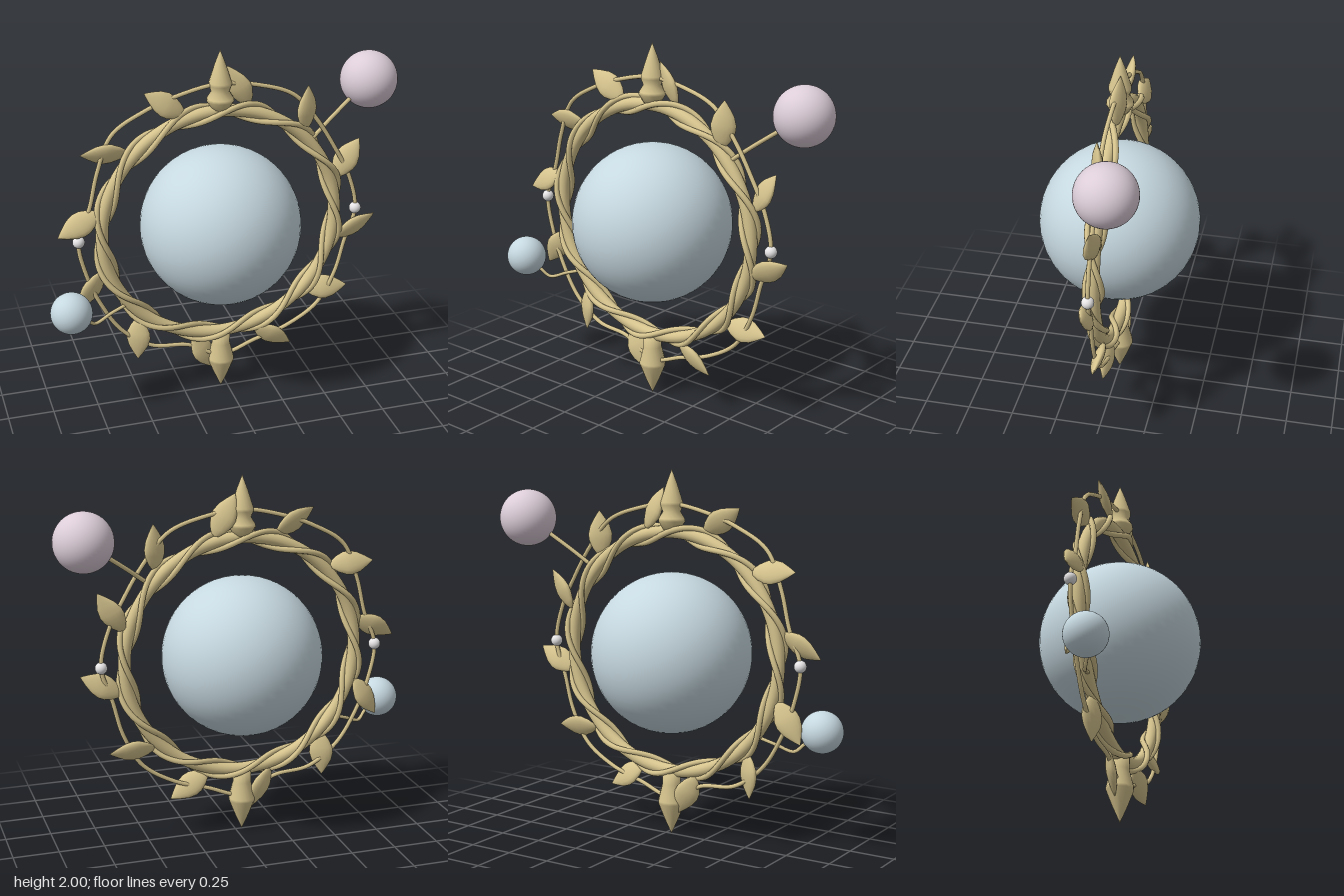
import * as THREE from 'three';

const CX = -0.037, CY = 1.016, RING = 0.652;

function material(name, color) {
  const m = new THREE.MeshStandardMaterial({ color });
  m.name = name;
  return m;
}

export function createModel() {
  const gold = material('gold', 0xd6c48e);
  const blue = material('pale blue', 0xc6d8e0);
  const pink = material('pale pink', 0xdccdd8);
  const pearl = material('pearl', 0xe8e6e6);
  const root = new THREE.Group();
  root.name = 'ornament';

  const add = (name, geometry, mat, x = 0, y = 0, z = 0, parent = root) => {
    const mesh = new THREE.Mesh(geometry, mat);
    mesh.name = name;
    mesh.position.set(x, y, z);
    parent.add(mesh);
    return mesh;
  };
  const ball = (name, r, mat, x, y, z) =>
    add(name, new THREE.SphereGeometry(r, 48, 32), mat, x, y, z);
  const tube = (name, points, r, closed, segments) => {
    const curve = new THREE.CatmullRomCurve3(points, closed);
    return add(name, new THREE.TubeGeometry(curve, segments, r, 8, closed), gold);
  };
  const polar = (deg, r, z = 0) => {
    const a = THREE.MathUtils.degToRad(deg);
    return new THREE.Vector3(CX + r * Math.cos(a), CY + r * Math.sin(a), z);
  };
  const lathe = (profile, sides) =>
    new THREE.LatheGeometry(profile.map(([r, y]) => new THREE.Vector2(r, y)), sides);

  // Globes
  ball('centralGlobe', 0.436, blue, CX, CY, 0);
  ball('upperGlobe', 0.157, pink, 0.837, 1.717, -0.118);
  ball('lowerGlobe', 0.112, blue, -0.89, 0.663, 0.112);

  // Main ring
  add('ring', new THREE.TorusGeometry(RING, 0.034, 16, 128), gold, CX, CY, 0);

  // Two vines winding around the ring
  for (let v = 0; v < 2; v++) {
    const points = [];
    for (let i = 0; i < 144; i++) {
      const deg = i * 2.5;
      const twist = THREE.MathUtils.degToRad((deg + 15) * 6) + v * Math.PI;
      points.push(polar(deg, RING + 0.043 * Math.cos(twist), 0.043 * Math.sin(twist)));
    }
    tube('vine', points, 0.016, true, 432);
  }

  // Wavering outer wire, one radius every 15 degrees
  const wire = [0.777, 0.76, 0.745, 0.765, 0.808, 0.8, 0.8,
    0.79, 0.8, 0.82, 0.765, 0.735, 0.777, 0.77, 0.775, 0.795, 0.79, 0.74, 0.806,
    0.77, 0.785, 0.8, 0.77, 0.745];
  tube('outerWire', wire.map((r, i) => polar(i * 15, r)), 0.012, true, 288);

  // Beads on the wire
  for (const side of [-1, 1]) ball('bead', 0.033, pearl, CX + side * 0.777, CY, 0);

  // Stalks holding the small globes
  const v3 = (...p) => new THREE.Vector3(...p);
  tube('upperStalk', [v3(0.46, 1.44, 0), v3(0.59, 1.54, -0.04), v3(0.8, 1.69, -0.105)], 0.012, false, 16);
  tube('lowerStalk', [v3(-0.57, 0.615, 0.01), v3(-0.66, 0.585, 0.03), v3(-0.755, 0.552, 0.06),
    v3(-0.8, 0.59, 0.085), v3(-0.87, 0.65, 0.11)], 0.01, false, 32);

  // Twelve leaves swirling around the ring
  const leafShape = lathe([[0, -0.12], [0.022, -0.112], [0.045, -0.08], [0.064, -0.035], [0.067, 0],
    [0.055, 0.045], [0.032, 0.085], [0.012, 0.115], [0, 0.13]], 16);
  leafShape.scale(1, 1, 0.4);
  for (let k = 0; k < 12; k++) {
    const deg = -7.5 + k * 30;
    const leaf = new THREE.Group();
    leaf.name = 'leaf';
    leaf.position.copy(polar(deg, 0.78, 0.012 * (k % 2 ? -1 : 1)));
    leaf.rotation.z = THREE.MathUtils.degToRad(deg + 35 - 90);
    root.add(leaf);
    const blade = add('leafBlade', leafShape, gold, 0, 0, 0, leaf);
    blade.rotation.y = k % 2 ? -0.45 : 0.45;
  }

  // Pointed finials above and below the ring
  add('topFinial', lathe([[0, 1.675], [0.045, 1.68], [0.073, 1.725], [0.07, 1.74], [0.048, 1.775],
    [0.06, 1.81], [0.06, 1.825], [0.03, 1.92], [0, 2]], 16), gold, CX, 0, 0);
  add('bottomFinial', lathe([[0, 0.004], [0.04, 0.095], [0.073, 0.18], [0.073, 0.195], [0.05, 0.29],
    [0.052, 0.355], [0, 0.36]], 16), gold, CX, 0, 0);

  return root;
}
